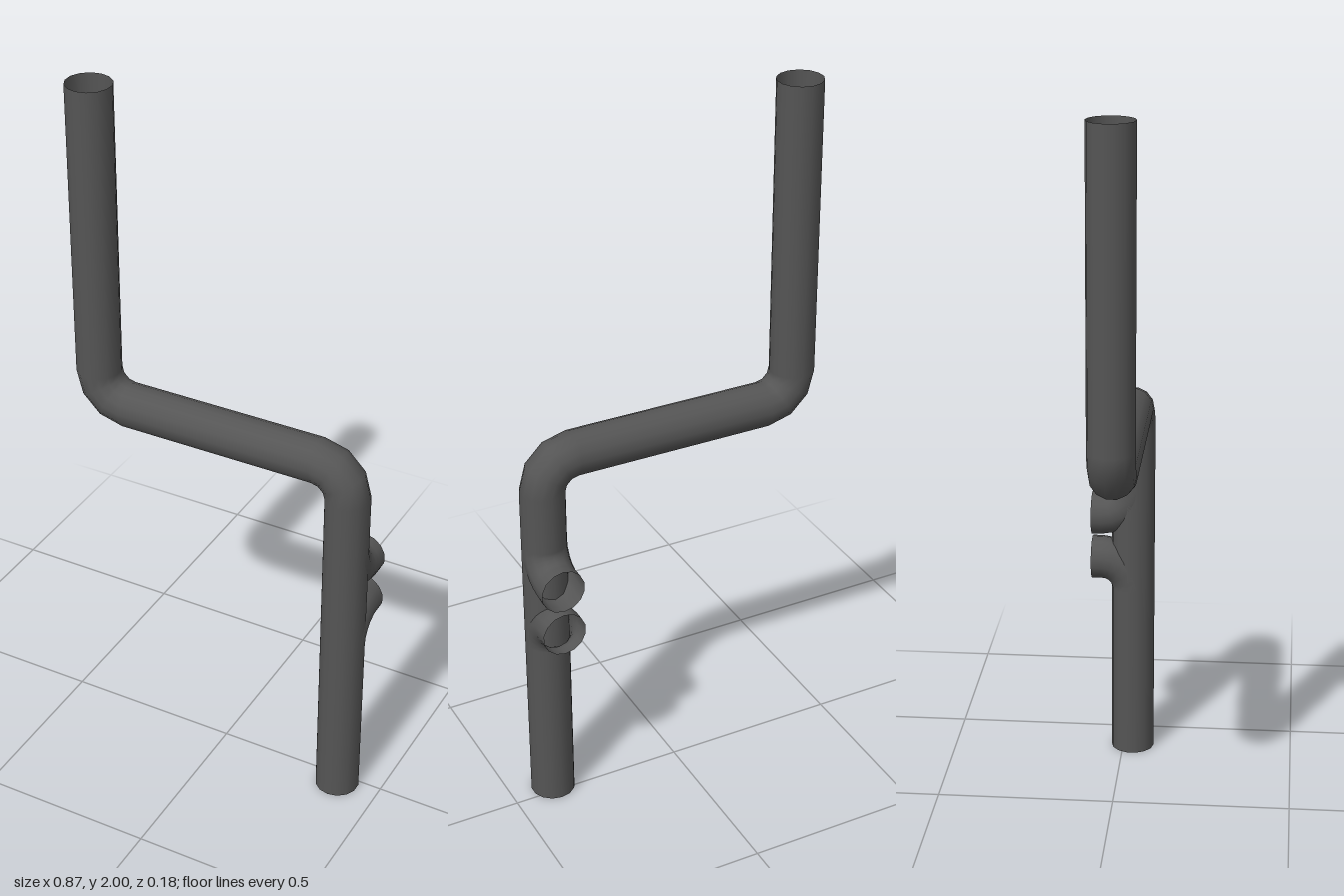
import * as THREE from 'three';

const R = 0.0625;     // pipe radius
const BEND = 0.09;    // bend radius of the centre line
const SIDES = 14;
const Z = 0.028;      // depth of the main pipe's centre line

const material = new THREE.MeshStandardMaterial({ color: 0x555555, side: THREE.DoubleSide });

// Curve that visits only its stations, so straights need no extra rings
class StationCurve extends THREE.Curve {
  constructor(stations) {
    super();
    this.stations = stations;
  }
  at(u) { return this.stations[Math.round(u * (this.stations.length - 1))]; }
  getPointAt(u, target = new THREE.Vector3()) { return target.copy(this.at(u).p); }
  getTangentAt(u, target = new THREE.Vector3()) { return target.copy(this.at(u).t); }
}

// Open pipe through right-angled corners, each rounded with a few segments
function pipe(name, corners, bendSegments) {
  const pts = corners.map(c => new THREE.Vector3(...c));
  const dir = i => pts[i + 1].clone().sub(pts[i]).normalize();
  const stations = [{ p: pts[0], t: dir(0) }];
  for (let i = 1; i < pts.length - 1; i++) {
    const a = dir(i - 1), b = dir(i);
    const centre = pts[i].clone().addScaledVector(a, -BEND).addScaledVector(b, BEND);
    for (let k = 0; k <= bendSegments; k++) {
      const angle = (k / bendSegments) * Math.PI / 2;
      const s = Math.sin(angle), c = Math.cos(angle);
      stations.push({
        p: centre.clone().addScaledVector(a, BEND * s).addScaledVector(b, -BEND * c),
        t: a.clone().multiplyScalar(c).addScaledVector(b, s),
      });
    }
  }
  stations.push({ p: pts[pts.length - 1], t: dir(pts.length - 2) });
  const geometry = new THREE.TubeGeometry(new StationCurve(stations), stations.length - 1, R, SIDES, false);
  const mesh = new THREE.Mesh(geometry, material);
  mesh.name = name;
  return mesh;
}

export function createModel() {
  const group = new THREE.Group();
  group.name = 'offsetPipe';

  // Main pipe: down, across, down again
  const x = 0.376;
  group.add(pipe('mainPipe', [[-x, 2, Z], [-x, 1.08, Z], [x, 1.08, Z], [x, 0, Z]], 3));

  // Two elbows leaving the back, one swept from above and one from below
  for (const [name, y, side] of [['upperElbow', 0.737, 1], ['lowerElbow', 0.6, -1]]) {
    group.add(pipe(name, [[x, y + side * (BEND + 0.005), Z], [x, y, Z], [x, y, -0.091]], 5));
  }
  return group;
}
